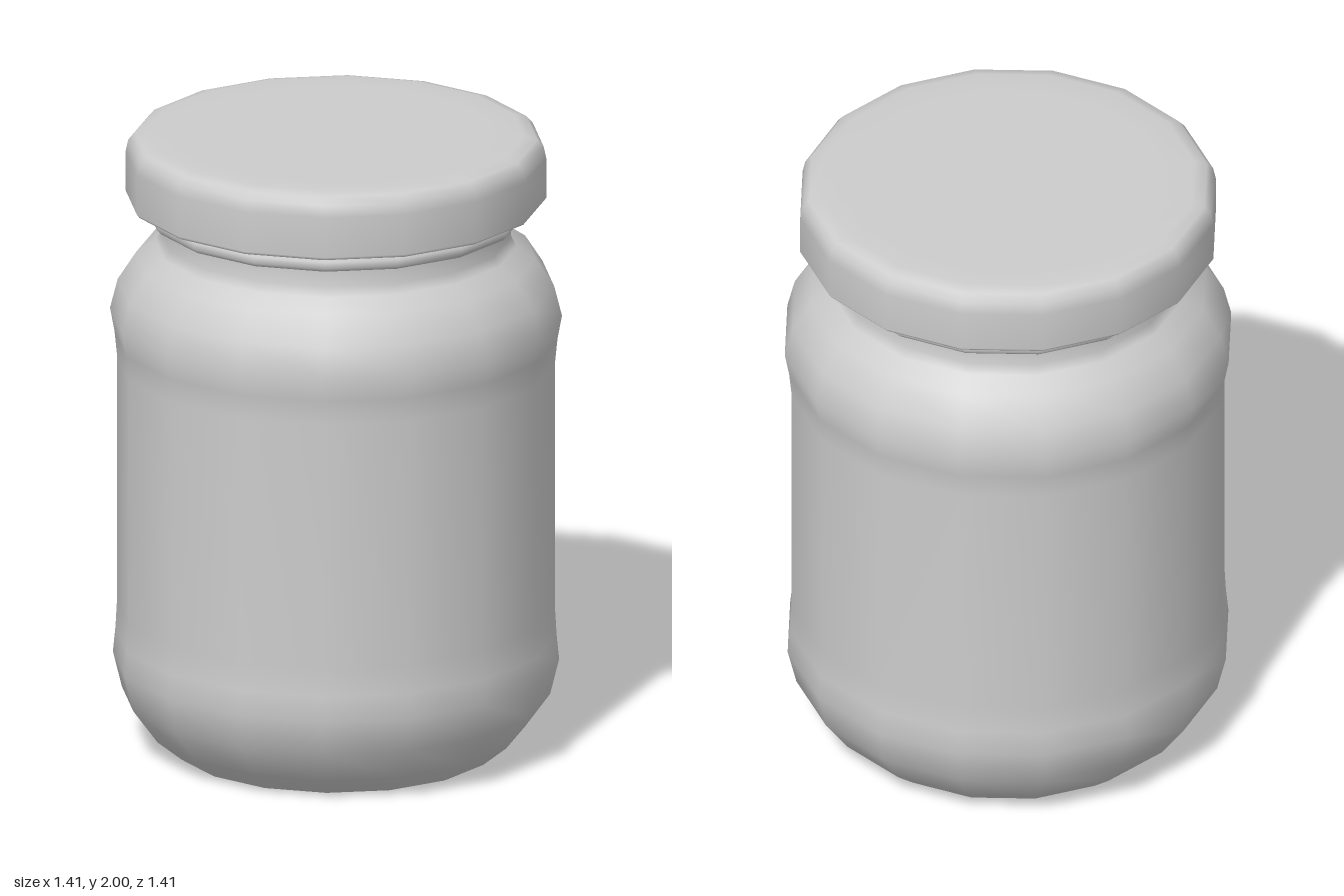
import * as THREE from 'three';

const SIDES = 16;

export function createModel() {
  const model = new THREE.Group();
  model.name = 'jarWithLid';
  const grey = new THREE.MeshStandardMaterial({ color: 0xcccccc });
  grey.name = 'plain grey';

  // Each profile runs upwards or outwards as [radius, height]; separate pieces keep sharp edges
  const turn = (name, parent, profile) => {
    const points = profile.map(([r, y]) => new THREE.Vector2(r, y));
    const mesh = new THREE.Mesh(new THREE.LatheGeometry(points, SIDES), grey);
    mesh.name = name;
    parent.add(mesh);
  };

  // Jar: flat base, rounded body with two soft bulges, straight neck
  const jar = new THREE.Group();
  jar.name = 'jar';
  turn('base', jar, [[0, 0], [0.51, 0]]);
  turn('body', jar, [
    [0.51, 0], [0.59, 0.065], [0.67, 0.175], [0.698, 0.29], [0.69, 0.37], [0.685, 0.46],
    [0.685, 1.26], [0.693, 1.34], [0.707, 1.415], [0.683, 1.51], [0.625, 1.6],
    [0.565, 1.64], [0.547, 1.67], [0.547, 1.73],
  ]);
  turn('neck', jar, [[0.547, 1.72], [0.547, 1.8]]);

  // Raised bead around the neck
  turn('neckBead', jar, [
    [0.547, 1.73], [0.58, 1.73], [0.591, 1.742], [0.591, 1.762], [0.58, 1.775], [0.547, 1.78],
  ]);
  model.add(jar);

  // Lid: flat underside, upright skirt rounded into the top
  const lid = new THREE.Group();
  lid.name = 'lid';
  turn('lidUnderside', lid, [[0.53, 1.79], [0.65, 1.79]]);
  turn('lidShell', lid, [
    [0.65, 1.79], [0.658, 1.8], [0.658, 1.93], [0.65, 1.967], [0.63, 1.99], [0.59, 2], [0.5, 2], [0, 2],
  ]);
  model.add(lid);

  return model;
}
